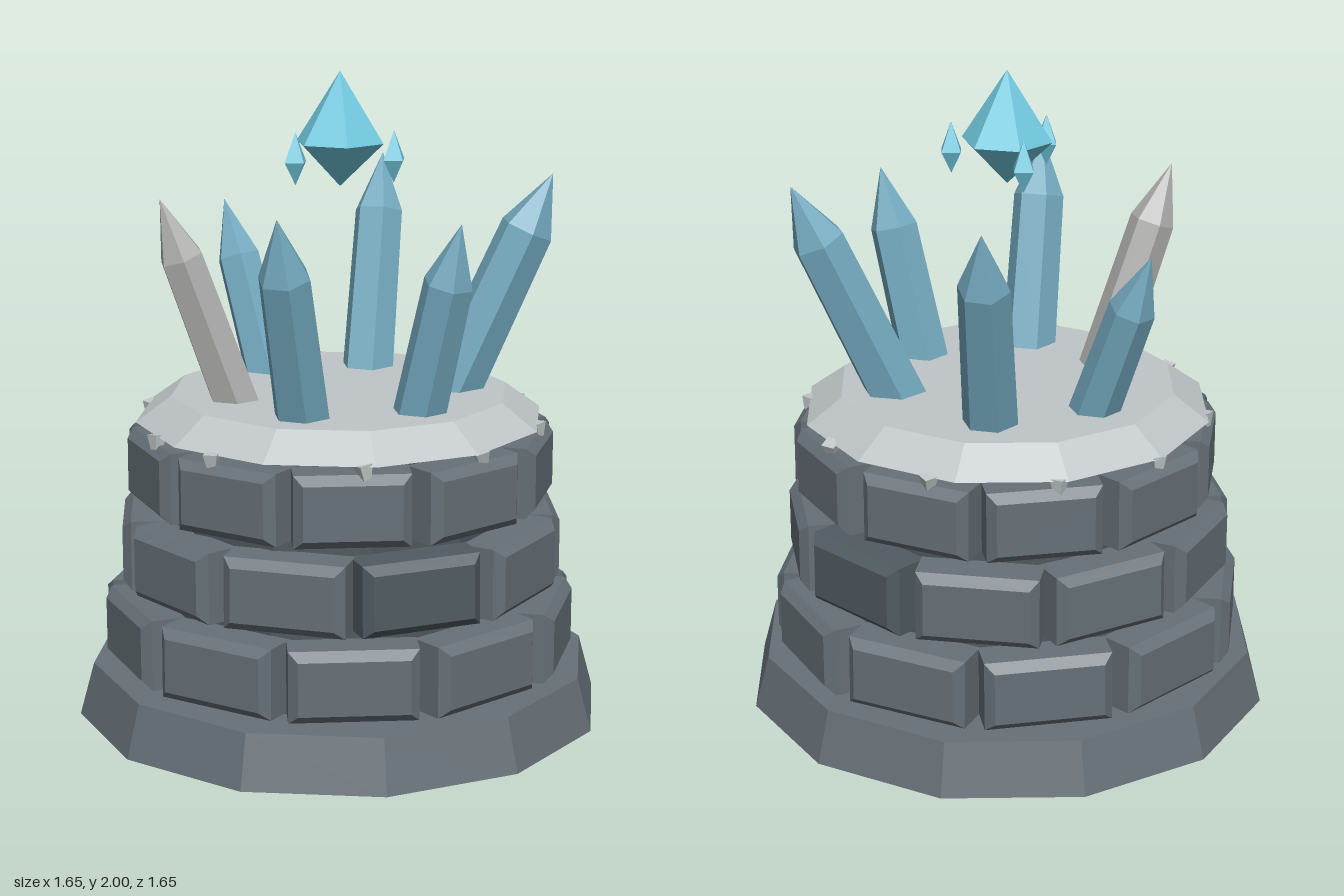
import * as THREE from 'three';

const mat = (name, color) => {
  const m = new THREE.MeshStandardMaterial({ color });
  m.name = name;
  return m;
};

// Faceted solid of revolution; profile runs bottom to top as [radius, y]
function facets(profile, sides) {
  const pts = profile.map(([r, y]) => new THREE.Vector2(r, y));
  const g = new THREE.LatheGeometry(pts, sides).toNonIndexed();
  g.computeVertexNormals();
  return g;
}

// Box with chamfered edges, its outer face at z = 0
function brickGeometry(w, h, d, c) {
  const s = new THREE.Shape();
  const x = w / 2 - c, y = h / 2 - c;
  s.moveTo(-x, -y).lineTo(x, -y).lineTo(x, y).lineTo(-x, y).closePath();
  const g = new THREE.ExtrudeGeometry(s, {
    depth: d - 2 * c, bevelEnabled: true, bevelSegments: 1, bevelSize: c, bevelThickness: c,
  });
  g.translate(0, 0, c - d);
  return g;
}

export function createModel() {
  const group = new THREE.Group();
  const stone = mat('slate stone', 0x667077);
  const darkStone = mat('dark slate', 0x505b61);
  const mortar = mat('mortar', 0x4a5358);
  const capStone = mat('pale cap stone', 0xc0c6c8);
  const crystalBlue = mat('blue crystal', 0x74aac0);
  const crystalGrey = mat('grey crystal', 0xb4b4b3);
  const gemBlue = mat('bright gem', 0x70c8de);

  const add = (name, geometry, material, parent = group) => {
    const m = new THREE.Mesh(geometry, material);
    m.name = name;
    parent.add(m);
    return m;
  };

  let seed = 7;
  const jitter = (a) => {
    seed = (seed * 16807) % 2147483647;
    return (seed / 2147483647 - 0.5) * 2 * a;
  };

  // Plinth and inner drum
  add('plinth', facets([[0, 0], [0.825, 0], [0.78, 0.165], [0, 0.165]], 12), stone);
  add('core', facets([[0, 0.16], [0.61, 0.16], [0.53, 0.94], [0, 0.94]], 12), mortar);

  // Three staggered rings of ten bricks
  const rows = [
    { y: 0.29, r: 0.712, w: 0.385, h: 0.22, offset: 18 },
    { y: 0.543, r: 0.678, w: 0.37, h: 0.22, offset: 0 },
    { y: 0.8, r: 0.645, w: 0.345, h: 0.22, offset: 18 },
  ];
  rows.forEach((row, k) => {
    const ring = new THREE.Group();
    ring.name = `brickRing${k + 1}`;
    group.add(ring);
    const geometry = brickGeometry(row.w, row.h, 0.16, 0.027);
    for (let i = 0; i < 10; i++) {
      const a = THREE.MathUtils.degToRad(row.offset + i * 36);
      const dark = k === 1 && (i === 2 || i === 5);
      const b = add('brick', geometry, dark ? darkStone : stone, ring);
      const r = row.r + jitter(0.006);
      b.position.set(r * Math.sin(a), row.y, r * Math.cos(a));
      b.rotation.set(0, a + jitter(0.03), jitter(0.012), 'YXZ');
    }
  });

  // Sloped cap
  add('cap', facets([[0, 0.925], [0.6, 0.925], [0.635, 0.935], [0.525, 1.015], [0, 1.015]], 12), capStone);

  // Small chips hanging around the cap rim
  const chip = facets([[0, -0.025], [0.018, -0.025], [0.03, 0.02], [0, 0.02]], 4);
  [13, 57, 93, 129, 165, 202, 238, 270, 306, 347].forEach((deg) => {
    const a = THREE.MathUtils.degToRad(deg);
    const m = add('rimChip', chip, capStone);
    m.position.set(0.615 * Math.sin(a), 0.92, 0.615 * Math.cos(a));
    m.rotation.set(jitter(0.2), a + jitter(0.5), jitter(0.2));
  });

  // Leaning crystals: base (x, z), tip (x, y, z), radius
  const crystals = [
    ['leftwardCrystal', -0.35, 0.01, -0.56, 1.54, 0.02, 0.077, crystalBlue],
    ['frontGreyCrystal', -0.11, 0.32, -0.2, 1.64, 0.53, 0.076, crystalGrey],
    ['frontCrystal', 0.19, 0.3, 0.3, 1.64, 0.48, 0.088, crystalBlue],
    ['sideCrystal', 0.36, -0.01, 0.52, 1.6, -0.03, 0.083, crystalBlue],
    ['backTallCrystal', 0.19, -0.29, 0.37, 1.68, -0.54, 0.092, crystalBlue],
    ['backCrystal', -0.2, -0.28, -0.34, 1.67, -0.46, 0.086, crystalBlue],
  ];
  const up = new THREE.Vector3(0, 1, 0);
  for (const [name, bx, bz, tx, ty, tz, r, material] of crystals) {
    const base = new THREE.Vector3(bx, 1, bz);
    const dir = new THREE.Vector3(tx, ty, tz).sub(base);
    const len = dir.length();
    const g = facets([[0, -0.05], [r, -0.05], [r * 0.92, len - 0.19], [0, len]], 6);
    const m = add(name, g, material);
    m.position.copy(base);
    m.quaternion.setFromUnitVectors(up, dir.normalize());
  }

  // Floating gem with three small ones around it
  add('floatingGem', facets([[0, 1.65], [0.14, 1.785], [0, 2]], 6), gemBlue);
  const shard = facets([[0, 1.67], [0.041, 1.74], [0, 1.83]], 4);
  for (let i = 0; i < 3; i++) {
    const a = (i * Math.PI * 2) / 3;
    add('smallGem', shard, gemBlue).position.set(0.173 * Math.sin(a), 0, 0.173 * Math.cos(a));
  }

  return group;
}
